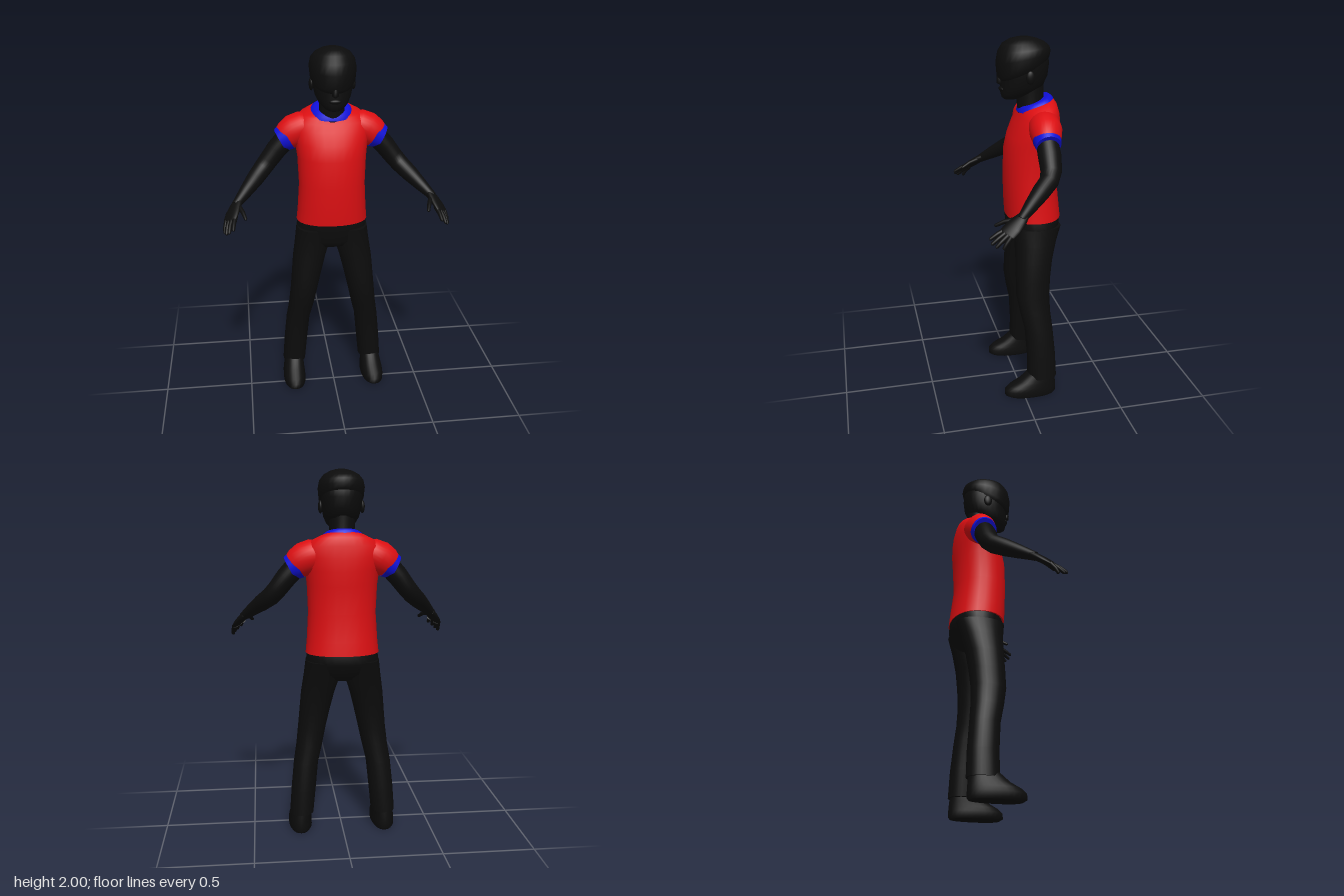
import * as THREE from 'three';

const material = (name, color) => new THREE.MeshStandardMaterial({ name, color });
const V = (x, y, z) => new THREE.Vector3(x, y, z);
const N = 28;

// Skin a closed, capped surface over rings { c, u, v } with a superellipse outline
function loft(name, mat, rings, e = 2) {
  const pos = [], idx = [];
  const addRing = (r) => {
    const start = pos.length / 3;
    for (let i = 0; i < N; i++) {
      const a = (i / N) * Math.PI * 2;
      const k = (t) => Math.sign(t) * Math.pow(Math.abs(t), 2 / e);
      const p = r.c.clone().addScaledVector(r.u, k(Math.cos(a))).addScaledVector(r.v, k(Math.sin(a)));
      pos.push(p.x, p.y, p.z);
    }
    return start;
  };
  const starts = rings.map(addRing);
  for (let j = 0; j < starts.length - 1; j++) {
    for (let i = 0; i < N; i++) {
      const k = (i + 1) % N, a = starts[j], b = starts[j + 1];
      idx.push(a + i, a + k, b + i, a + k, b + k, b + i);
    }
  }
  [rings[0], rings[rings.length - 1]].forEach((r, end) => {
    const s = addRing(r), c = pos.length / 3;
    pos.push(r.c.x, r.c.y, r.c.z);
    for (let i = 0; i < N; i++) {
      const k = (i + 1) % N;
      idx.push(c, s + (end ? i : k), s + (end ? k : i));
    }
  });
  // Turn the faces outward whichever way the rings run
  const r0 = rings[0], along = rings[1].c.clone().sub(r0.c);
  if (r0.u.clone().cross(r0.v).dot(along) < 0) {
    for (let i = 0; i < idx.length; i += 3) [idx[i], idx[i + 1]] = [idx[i + 1], idx[i]];
  }
  const g = new THREE.BufferGeometry();
  g.setAttribute('position', new THREE.Float32BufferAttribute(pos, 3));
  g.setIndex(idx);
  g.computeVertexNormals();
  const m = new THREE.Mesh(g, mat);
  m.name = name;
  return m;
}

// Upright form: rows of [y, centre x, half width, front z, back z, tilt up toward the back]
function upright(name, mat, rows, e = 2.2, s = 1) {
  return loft(name, mat, rows.map(([y, cx, hx, zf, zb, tilt = 0]) => {
    const h = (zf - zb) / 2;
    return { c: V(cx * s, y, (zf + zb) / 2), u: V(hx, 0, 0), v: V(0, -h * tilt, h) };
  }), e);
}

// Limb: points of [x, y, z, radius across, radius along the hint]
function limb(name, mat, pts, s = 1, hint = [0, 0, 1]) {
  const c = pts.map((p) => V(p[0] * s, p[1], p[2]));
  const h = V(hint[0] * s, hint[1], hint[2]);
  return loft(name, mat, pts.map((p, i) => {
    const t = c[Math.min(i + 1, c.length - 1)].clone().sub(c[Math.max(i - 1, 0)]).normalize();
    const u = t.clone().cross(h).normalize();
    const v = u.clone().cross(t).normalize();
    return { c: c[i], u: u.multiplyScalar(p[3]), v: v.multiplyScalar(p[4] ?? p[3]) };
  }));
}

function ball(name, mat, [x, y, z], [a, b, c]) {
  const m = new THREE.Mesh(new THREE.SphereGeometry(1, 16, 12), mat);
  m.name = name;
  m.position.set(x, y, z);
  m.scale.set(a, b, c);
  return m;
}

export function createModel() {
  const model = new THREE.Group();
  model.name = 'standingPerson';
  const red = material('shirt red', 0xdc0f12);
  const blue = material('trim blue', 0x1010d8);
  const black = material('black', 0x0c0c0c);

  // Shirt body
  model.add(upright('shirt', red, [
    [1.03, 0, 0.2, 0.05, -0.25], [1.1, 0, 0.193, 0.055, -0.243], [1.25, 0, 0.184, 0.06, -0.226],
    [1.4, 0, 0.19, 0.055, -0.235], [1.48, 0, 0.2, 0.035, -0.24], [1.55, 0, 0.215, 0.005, -0.238],
    [1.6, 0, 0.205, -0.015, -0.232, 0.1], [1.635, 0, 0.165, -0.025, -0.222, 0.2],
    [1.655, 0, 0.115, -0.03, -0.205, 0.3], [1.662, 0, 0.08, -0.04, -0.18, 0.35],
  ]));

  // Collar, sloping down to the front
  model.add(upright('collar', blue, [
    [1.638, 0, 0.122, -0.015, -0.212, 0.3], [1.658, 0, 0.108, -0.018, -0.203, 0.32],
    [1.67, 0, 0.09, -0.025, -0.188, 0.35], [1.668, 0, 0.072, -0.035, -0.17, 0.35],
  ]));

  // Neck and head
  model.add(upright('neck', black, [
    [1.6, 0, 0.075, -0.02, -0.165], [1.68, 0, 0.068, -0.012, -0.158], [1.78, 0, 0.072, 0, -0.158],
  ], 2));
  model.add(upright('head', black, [
    [1.68, 0, 0.03, 0.055, -0.01], [1.69, 0, 0.05, 0.068, -0.04], [1.715, 0, 0.077, 0.074, -0.1],
    [1.75, 0, 0.095, 0.074, -0.152], [1.8, 0, 0.106, 0.074, -0.175], [1.86, 0, 0.112, 0.075, -0.182],
    [1.92, 0, 0.11, 0.07, -0.178], [1.96, 0, 0.08, 0.04, -0.14],
  ]));
  model.add(upright('hair', black, [
    [1.83, 0, 0.109, 0.075, -0.172, 0.42], [1.85, 0, 0.12, 0.092, -0.185, 0.38],
    [1.9, 0, 0.125, 0.098, -0.19, 0.2], [1.94, 0, 0.117, 0.088, -0.183, 0.1],
    [1.97, 0, 0.095, 0.065, -0.158, 0.03], [1.99, 0, 0.06, 0.025, -0.12], [2, 0, 0.025, -0.015, -0.08],
  ], 2.1));
  model.add(limb('nose', black, [[0, 1.845, 0.068, 0.01], [0, 1.79, 0.08, 0.016], [0, 1.77, 0.078, 0.018], [0, 1.76, 0.07, 0.008]]));
  model.add(ball('lips', black, [0, 1.735, 0.07], [0.032, 0.013, 0.013]));
  model.add(ball('brow', black, [0, 1.855, 0.062], [0.075, 0.014, 0.02]));

  // Waist and seat of the trousers
  model.add(upright('trouserSeat', black, [
    [1.06, 0, 0.185, 0.035, -0.235], [1.03, 0, 0.194, 0.04, -0.246], [0.98, 0, 0.2, 0.032, -0.245],
    [0.92, 0, 0.2, 0.025, -0.215], [0.885, 0, 0.12, 0.005, -0.18], [0.87, 0, 0.05, -0.03, -0.14],
  ]));

  for (const s of [1, -1]) {
    const side = new THREE.Group();
    side.name = s > 0 ? 'leftSide' : 'rightSide';
    model.add(side);

    side.add(ball('ear', black, [0.112 * s, 1.805, -0.06], [0.013, 0.035, 0.024]));

    // Trouser leg
    side.add(upright('trouserLeg', black, [
      [0.99, 0.11, 0.09, 0.03, -0.235], [0.9, 0.112, 0.1, 0.022, -0.208], [0.8, 0.135, 0.092, 0.022, -0.182],
      [0.7, 0.152, 0.084, 0.024, -0.168], [0.6, 0.168, 0.077, 0.025, -0.16], [0.5, 0.184, 0.072, 0.008, -0.163],
      [0.4, 0.204, 0.068, -0.015, -0.173], [0.25, 0.219, 0.068, -0.025, -0.186], [0.11, 0.231, 0.066, -0.025, -0.192],
    ], 2.2, s));

    // Shoe
    side.add(upright('shoe', black, [
      [0, 0.237, 0.056, 0.09, -0.18], [0.012, 0.237, 0.065, 0.11, -0.188], [0.04, 0.237, 0.065, 0.108, -0.188],
      [0.062, 0.237, 0.062, 0.085, -0.187], [0.09, 0.235, 0.058, 0.03, -0.184], [0.14, 0.232, 0.052, -0.03, -0.178],
    ], 2.3, s));

    // Sleeve and its cuff
    side.add(limb('sleeve', red, [
      [0.1, 1.575, -0.125, 0.06], [0.15, 1.56, -0.124, 0.085], [0.2, 1.538, -0.122, 0.09, 0.085],
      [0.235, 1.515, -0.118, 0.083, 0.076], [0.252, 1.502, -0.116, 0.074, 0.07],
    ], s));
    side.add(limb('sleeveCuff', blue, [
      [0.24, 1.509, -0.117, 0.078, 0.074], [0.258, 1.499, -0.116, 0.074, 0.07], [0.28, 1.487, -0.115, 0.066, 0.065],
    ], s));

    // Arm down to the wrist
    side.add(limb('arm', black, [
      [0.24, 1.505, -0.115, 0.058], [0.3, 1.44, -0.115, 0.056, 0.06], [0.35, 1.375, -0.11, 0.052, 0.055],
      [0.385, 1.335, -0.09, 0.05, 0.05], [0.43, 1.295, -0.035, 0.046], [0.48, 1.25, 0.025, 0.036],
      [0.522, 1.212, 0.075, 0.026], [0.535, 1.2, 0.09, 0.024],
    ], s));

    // Hand with spread fingers
    const hint = [0.6, 0.75, 0.3];
    side.add(limb('palm', black, [
      [0.52, 1.214, 0.07, 0.026, 0.022], [0.538, 1.194, 0.1, 0.038, 0.02], [0.556, 1.168, 0.135, 0.046, 0.018],
      [0.569, 1.147, 0.165, 0.045, 0.014], [0.574, 1.138, 0.175, 0.036, 0.008],
    ], s, hint));
    const fingers = {
      thumb: [[0.523, 1.2, 0.105], [0.5, 1.185, 0.165], [0.485, 1.16, 0.213]],
      indexFinger: [[0.54, 1.163, 0.16], [0.549, 1.143, 0.21], [0.554, 1.118, 0.252]],
      middleFinger: [[0.557, 1.153, 0.165], [0.57, 1.127, 0.21], [0.576, 1.1, 0.247]],
      ringFinger: [[0.573, 1.142, 0.162], [0.585, 1.115, 0.198], [0.59, 1.087, 0.228]],
      littleFinger: [[0.587, 1.135, 0.152], [0.596, 1.108, 0.175], [0.599, 1.078, 0.192]],
    };
    for (const [name, [a, b, c]] of Object.entries(fingers)) {
      const near = c.map((v, i) => v * 0.85 + b[i] * 0.15);
      side.add(limb(name, black, [[...a, 0.014], [...b, 0.0115], [...near, 0.009], [...c, 0.004]], s, hint));
    }
  }
  return model;
}
